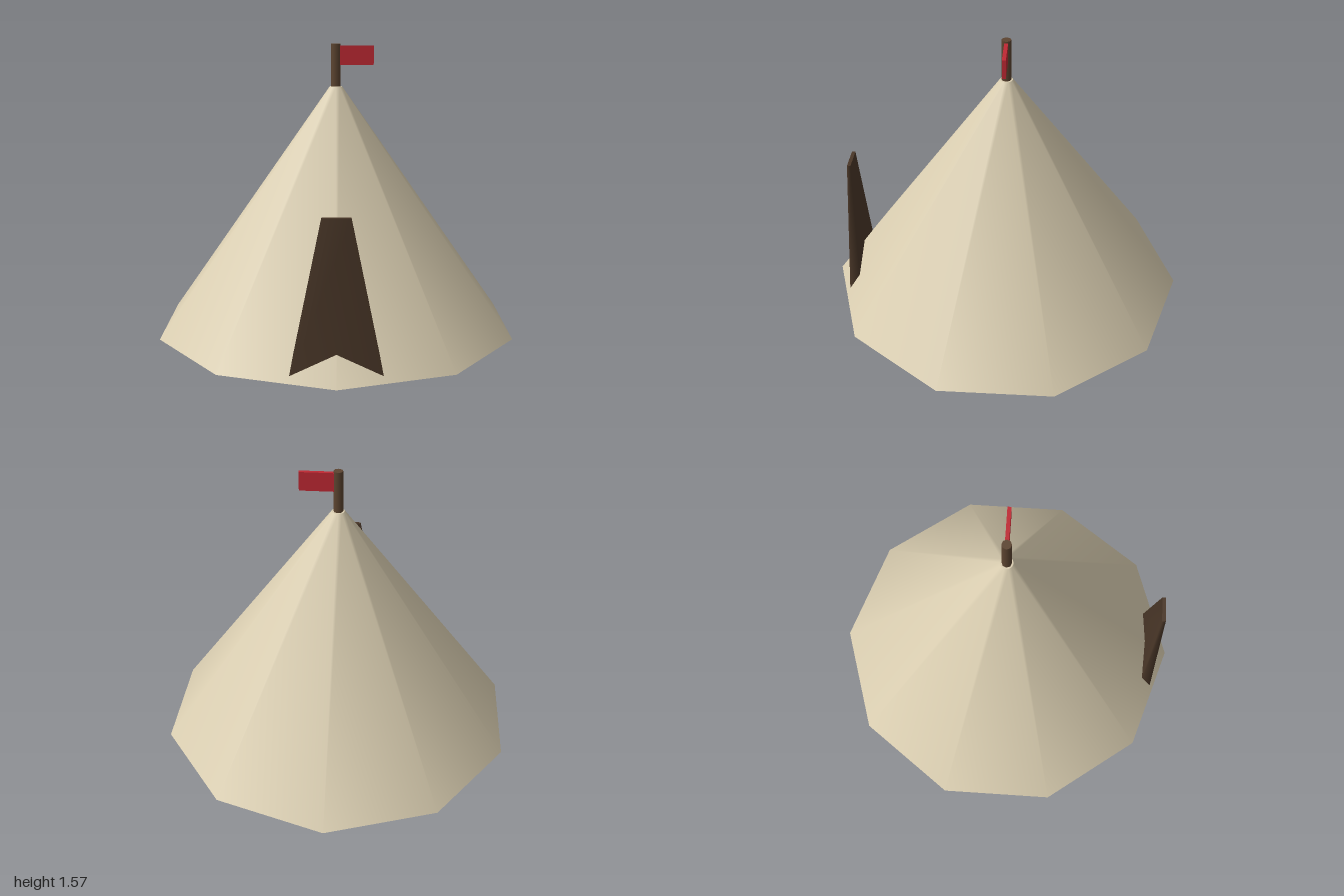
import * as THREE from 'three';

const material = (name, color) => {
  const m = new THREE.MeshStandardMaterial({ color });
  m.name = name;
  return m;
};

export function createModel() {
  const canvas = material('cream canvas', 0xd9cdb0);
  const dark = material('dark brown', 0x4a3728);
  const wood = material('wood brown', 0x5c4430);
  const red = material('flag red', 0xbf2833);

  const group = new THREE.Group();
  group.name = 'tent';
  const add = (name, geometry, mat, x, y, z) => {
    const mesh = new THREE.Mesh(geometry, mat);
    mesh.name = name;
    mesh.position.set(x, y, z);
    group.add(mesh);
    return mesh;
  };

  // Ten-sided canvas cone with a small flat top; its floor sits just above the door's foot
  add('tentCanvas', new THREE.CylinderGeometry(0.035, 1, 1.338, 10), canvas, 0, 0.671, 0);

  // Door: a flattened four-sided taper standing through the front of the canvas
  const door = new THREE.CylinderGeometry(0.1, 0.33, 0.8, 4);
  door.rotateY(Math.PI / 4);
  door.scale(1, 1, 0.14);
  add('door', door, dark, 0, 0.4, 0.872);

  // Pole and flag
  add('pole', new THREE.CylinderGeometry(0.026, 0.026, 0.3, 8), wood, 0, 1.42, 0);
  add('flag', new THREE.BoxGeometry(0.19, 0.105, 0.02), red, 0.11, 1.508, 0);

  return group;
}
